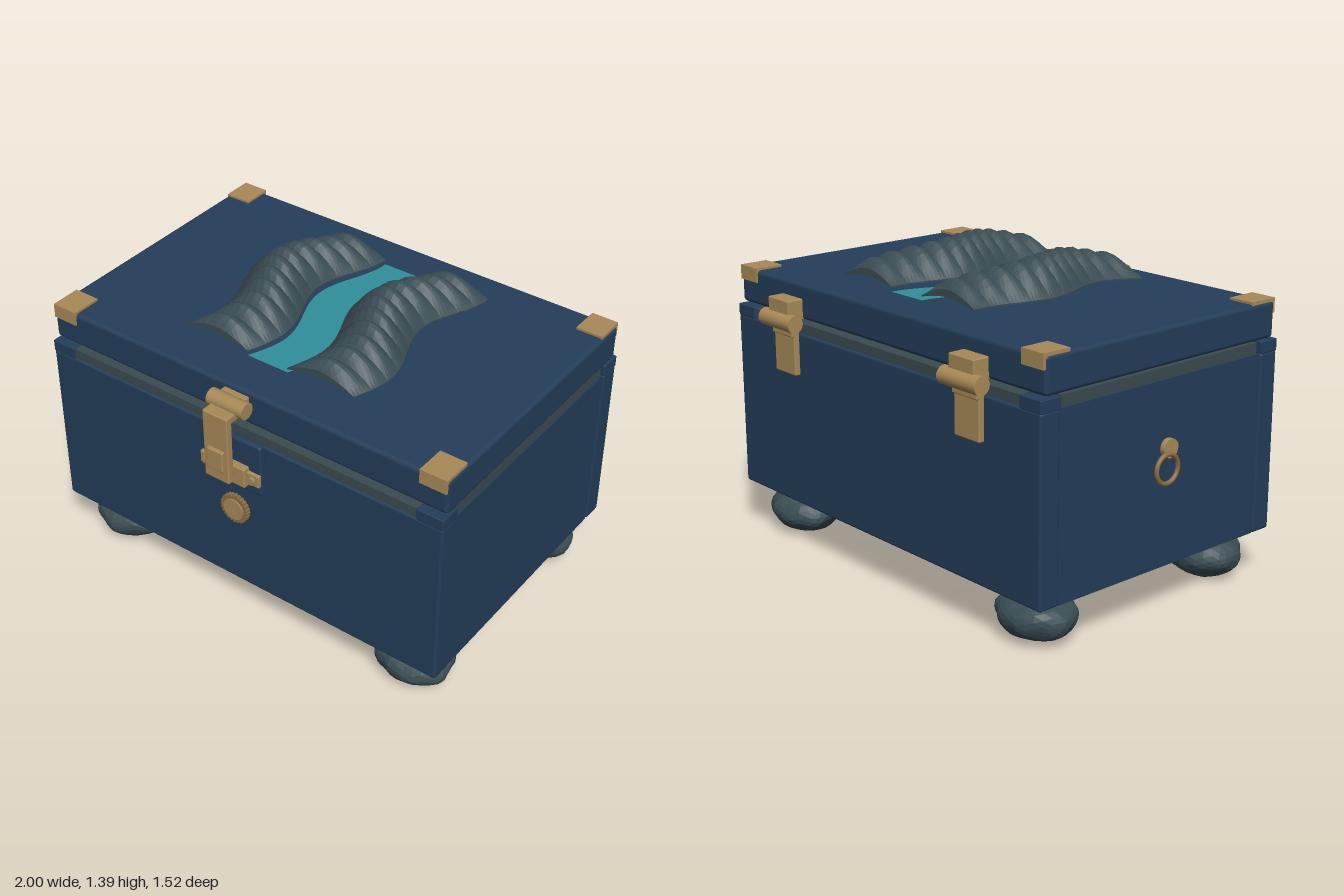
import * as THREE from 'three';
import { RoundedBoxGeometry } from 'three/addons/geometries/RoundedBoxGeometry.js';
import { mergeVertices } from 'three/addons/utils/BufferGeometryUtils.js';

const mat = (name, color, extra = {}) => {
  const m = new THREE.MeshStandardMaterial({ color, ...extra });
  m.name = name;
  return m;
};

export function createModel() {
  const navy = mat('navy', 0x243e59);
  const slate = mat('slate', 0x3a4b50);
  const rock = mat('stone', 0x3a4d53, { flatShading: true });
  const gold = mat('brass', 0xa88a58);
  const bronze = mat('bronze', 0x8a6c40);
  const teal = mat('teal', 0x2f8f9a, { side: THREE.DoubleSide });

  const root = new THREE.Group();
  const add = (name, geo, material, parent = root) => {
    const m = new THREE.Mesh(geo, material);
    m.name = name;
    parent.add(m);
    return m;
  };
  // box given by its min and max on each axis, with softened edges when r > 0
  const box = (name, material, x0, x1, y0, y1, z0, z1, r = 0) => {
    const s = [x1 - x0, y1 - y0, z1 - z0];
    const m = add(name, r ? new RoundedBoxGeometry(...s, 2, r) : new THREE.BoxGeometry(...s), material);
    m.position.set((x0 + x1) / 2, (y0 + y1) / 2, (z0 + z1) / 2);
    return m;
  };
  const cyl = (name, material, r, len, axis, x, y, z, seg = 24) => {
    const m = add(name, new THREE.CylinderGeometry(r, r, len, seg), material);
    if (axis === 'x') m.rotation.z = Math.PI / 2;
    if (axis === 'z') m.rotation.x = Math.PI / 2;
    m.position.set(x, y, z);
    return m;
  };

  // Chest body
  box('frontPanel', navy, -0.963, 1, 0.22, 1, 0.535, 0.633, 0.012);
  box('backPanel', navy, -0.963, 1, 0.22, 1, -0.678, -0.58, 0.012);
  box('leftPanel', navy, 0.89, 0.993, 0.22, 0.998, -0.58, 0.535);
  box('rightPanel', navy, -0.956, -0.853, 0.22, 0.998, -0.58, 0.535);
  box('floor', navy, -0.86, 0.9, 0.22, 0.26, -0.58, 0.535);
  box('basePlate', navy, -0.88, 0.914, 0.185, 0.225, -0.58, 0.535, 0.01);

  // Rim between body and lid
  for (const [z0, z1] of [[0.535, 0.625], [-0.67, -0.58]]) {
    box('rimStrip', slate, -0.845, 0.88, 0.99, 1.043, z0, z1);
    for (const [x0, x1] of [[-0.963, -0.845], [0.88, 1]])
      box('rimCorner', navy, x0, x1, 0.995, 1.048, z0 - (z0 < 0 ? 0.008 : 0), z1 + (z0 > 0 ? 0.008 : 0), 0.005);
  }
  for (const [x0, x1] of [[-0.95, -0.85], [0.885, 0.987]])
    box('rimSideStrip', slate, x0, x1, 0.99, 1.046, -0.565, 0.52);

  // Lid with metal corner brackets
  box('lid', navy, -0.963, 1, 1.055, 1.21, -0.655, 0.607, 0.018);
  for (const [x0, x1] of [[-0.957, -0.838], [0.874, 0.994]]) {
    box('cornerTop', gold, x0, x1, 1.2, 1.22, 0.476, 0.613);
    box('cornerFlap', gold, x0, x1, 1.157, 1.22, 0.602, 0.613);
    box('cornerTop', gold, x0, x1, 1.2, 1.22, -0.662, -0.53);
    box('cornerFlap', gold, x0, x1, 1.157, 1.22, -0.662, -0.65);
  }

  // Hinges
  for (const x of [-0.58, 0.614]) {
    cyl('hingePin', gold, 0.038, 0.22, 'x', x, 1.05, -0.72);
    box('hingeUpperLeaf', gold, x - 0.073, x + 0.073, 1.055, 1.145, -0.73, -0.645, 0.006);
    box('hingeLowerLeaf', gold, x - 0.073, x + 0.073, 0.815, 1.04, -0.704, -0.675, 0.006);
    box('hingeStep', gold, x - 0.073, x + 0.073, 0.985, 1.04, -0.715, -0.69, 0.006);
  }

  // Front latch
  box('latchBackplate', navy, -0.134, 0.166, 0.765, 1.008, 0.628, 0.66, 0.01);
  box('latchBar', gold, -0.134, 0.166, 0.815, 0.875, 0.655, 0.675, 0.006);
  box('latchKeeper', gold, -0.075, 0.107, 0.8, 0.893, 0.655, 0.692, 0.006);
  for (const x of [-0.1, 0.132]) cyl('latchRivet', gold, 0.018, 0.02, 'z', x, 0.845, 0.677, 12);
  cyl('latchPin', gold, 0.036, 0.178, 'x', 0.018, 1.165, 0.66);
  box('latchPinMount', gold, -0.048, 0.075, 1.13, 1.19, 0.6, 0.66, 0.006);
  box('latchArm', gold, -0.048, 0.075, 1.125, 1.16, 0.66, 0.747, 0.006);
  box('latchHasp', gold, -0.048, 0.075, 0.84, 1.16, 0.715, 0.747, 0.006);
  box('latchButton', gold, -0.022, 0.058, 0.9, 0.998, 0.74, 0.763, 0.006);

  // Round lock boss with beaded rim
  cyl('bossRim', bronze, 0.064, 0.024, 'z', 0.015, 0.625, 0.643, 32);
  cyl('bossFace', gold, 0.05, 0.012, 'z', 0.015, 0.625, 0.655, 32);
  for (let i = 0; i < 24; i++) {
    const a = (i / 24) * Math.PI * 2;
    cyl('bossBead', bronze, 0.008, 0.022, 'z', 0.015 + 0.062 * Math.cos(a), 0.625 + 0.062 * Math.sin(a), 0.645, 8);
  }

  // Ring pull on the right side
  cyl('ringMount', gold, 0.04, 0.022, 'x', -0.968, 0.72, 0, 20);
  const ring = add('ringPull', new THREE.TorusGeometry(0.06, 0.01, 10, 32), bronze);
  ring.rotation.y = Math.PI / 2;
  ring.position.set(-0.988, 0.645, -0.03);

  // Lumpy stone feet
  const makeFoot = (seed) => {
    const base = new THREE.IcosahedronGeometry(1, 4);
    base.deleteAttribute('uv');
    base.deleteAttribute('normal');
    const g = mergeVertices(base, 1e-4);
    const p = g.attributes.position, v = new THREE.Vector3();
    for (let i = 0; i < p.count; i++) {
      v.fromBufferAttribute(p, i);
      const n = Math.sin(v.x * 5 + seed) * Math.sin(v.y * 4 + seed * 2) * Math.sin(v.z * 5 + seed * 3)
        + 0.5 * Math.sin(v.x * 9 + v.z * 7 + seed);
      v.multiplyScalar(1 + 0.05 * n);
      p.setXYZ(i, v.x * 0.176, v.y * 0.1, v.z * 0.148);
    }
    g.computeVertexNormals();
    return g;
  };
  [[-0.757, 0.456], [0.79, 0.456], [-0.757, -0.503], [0.79, -0.503]].forEach(([x, z], i) => {
    add('foot', makeFoot(1.3 + i * 1.7), rock).position.set(x, 0.105, z);
  });

  // Winding ribbon on the lid
  const Z0 = -0.47, Z1 = 0.415;
  const centre = (z) => 0.02 - 0.047 * Math.cos((2 * Math.PI * (z + 0.12)) / 0.7);
  const edge = (s) => Array.from({ length: 33 }, (_, i) => {
    const z = Z0 + ((Z1 - Z0) * i) / 32;
    return new THREE.Vector2(centre(z) + s * 0.1, -z);
  });
  const ribbon = add('ribbon', new THREE.ShapeGeometry(new THREE.Shape([...edge(-1), ...edge(1).reverse()])), teal);
  ribbon.rotation.x = -Math.PI / 2;
  ribbon.position.y = 1.214;

  // Ridged arched banks that follow the ribbon: crescent sections swept along z
  const bank = (side) => {
    const rows = 66, N = 10, L = 2 * (N + 1), pos = [], idx = [];
    for (let i = 0; i <= rows; i++) {
      const t = i / rows, z = Z0 + (Z1 - Z0) * t, swell = Math.sin(Math.PI * t);
      const ridge = Math.abs(Math.sin(Math.PI * 11 * t));
      const xc = centre(z) + side * 0.26, yb = 1.23 + 0.012 * swell;
      const top = 0.05 + 0.06 * swell + 0.03 * ridge, under = 0.025 + 0.03 * swell;
      for (let j = 0; j < L; j++) {
        const outer = j <= N, u = outer ? j / N : (L - 1 - j) / N;
        pos.push(xc + (u - 0.5) * 0.322,
          yb + Math.sin(Math.PI * u) * (outer ? top : under) + (outer ? 0.006 : 0), z);
      }
    }
    for (let i = 0; i < rows; i++)
      for (let j = 0; j < L; j++) {
        const a = i * L + j, b = i * L + ((j + 1) % L);
        idx.push(a, a + L, b + L, a, b + L, b);
      }
    for (let j = 0; j < N; j++) {
      const a = j, b = j + 1, c = L - 2 - j, d = L - 1 - j, e = rows * L;
      idx.push(a, b, c, a, c, d, e + a, e + c, e + b, e + a, e + d, e + c);
    }
    const g = new THREE.BufferGeometry();
    g.setAttribute('position', new THREE.Float32BufferAttribute(pos, 3));
    g.setIndex(idx);
    g.computeVertexNormals();
    return g;
  };
  add('leftBank', bank(1), rock);
  add('rightBank', bank(-1), rock);

  return root;
}
